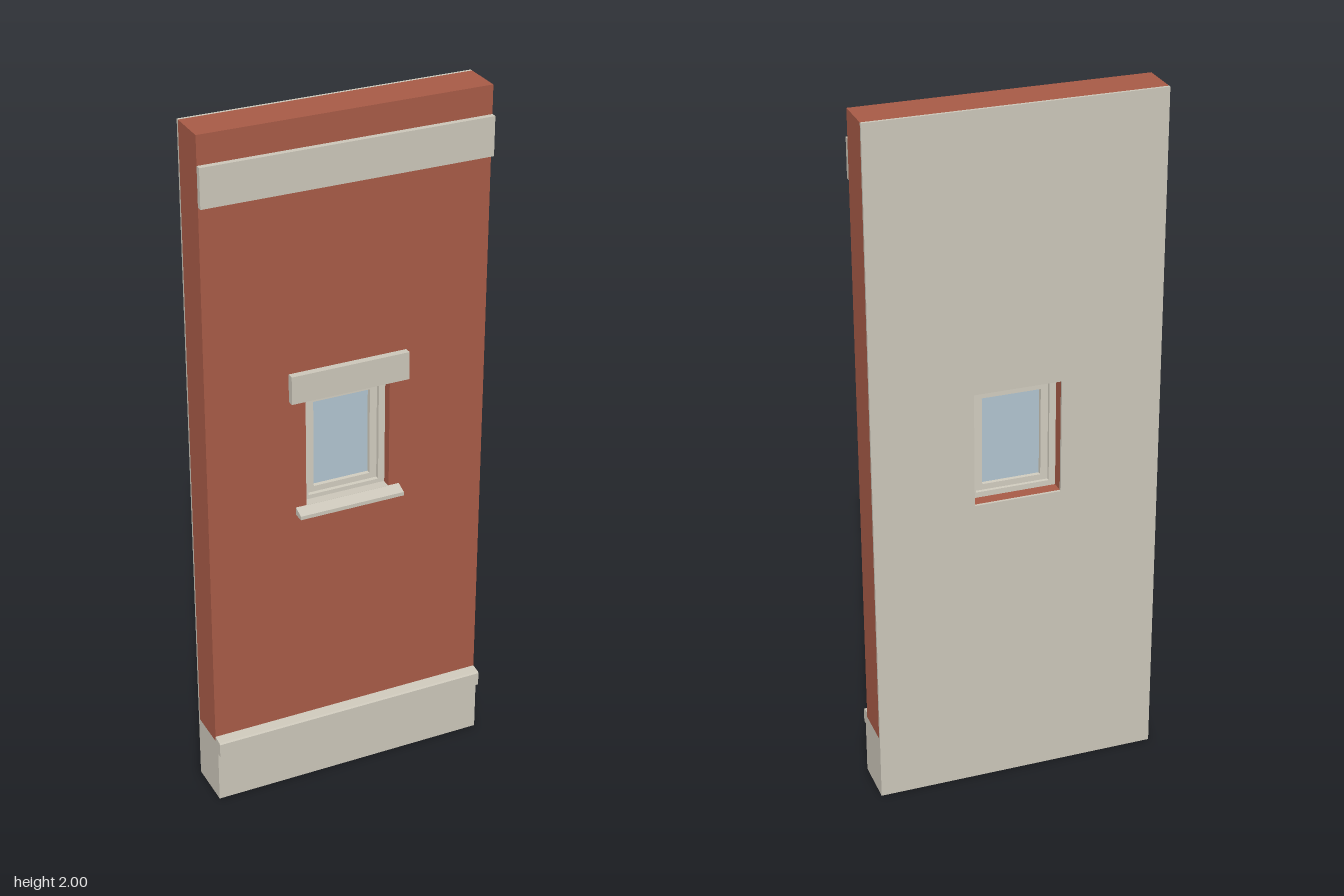
import * as THREE from 'three';

const mat = (name, color) => {
  const m = new THREE.MeshStandardMaterial({ color });
  m.name = name;
  return m;
};

export function createModel() {
  const group = new THREE.Group();
  group.name = 'wallPanelWithWindow';
  const brick = mat('brick red', 0xa65a46);
  const stone = mat('stone', 0xcac5b8);
  const frameMat = mat('window frame', 0xd0cbbe);
  const glassMat = mat('glass', 0xb0c3ce);

  const add = (name, geometry, material) => {
    const mesh = new THREE.Mesh(geometry, material);
    mesh.name = name;
    group.add(mesh);
  };

  // Box given by its limits on each axis
  const box = (name, m, x0, x1, y0, y1, z0, z1) => {
    const g = new THREE.BoxGeometry(x1 - x0, y1 - y0, z1 - z0);
    g.translate((x0 + x1) / 2, (y0 + y1) / 2, (z0 + z1) / 2);
    add(name, g, m);
  };

  // Rectangular slab with a rectangular hole: [halfWidth, bottom, top]
  const ring = (name, m, [w, b, t], [hw, hb, ht], z0, z1) => {
    const rect = (P, a, lo, hi) => new P([[-a, lo], [a, lo], [a, hi], [-a, hi]].map(p => new THREE.Vector2(...p)));
    const shape = rect(THREE.Shape, w, b, t);
    shape.holes.push(rect(THREE.Path, hw, hb, ht));
    const g = new THREE.ExtrudeGeometry(shape, { depth: z1 - z0, bevelEnabled: false });
    add(name, g.translate(0, 0, z0), m);
  };

  // Cross-section of [z, y] points swept along x
  const sweep = (name, m, halfWidth, points) => {
    const shape = new THREE.Shape(points.map(([z, y]) => new THREE.Vector2(-z, y)));
    const g = new THREE.ExtrudeGeometry(shape, { depth: halfWidth * 2, bevelEnabled: false });
    add(name, g.translate(0, 0, -halfWidth).rotateY(Math.PI / 2), m);
  };

  // Wall with inner plaster layer
  const W = 0.41, opening = [0.124, 0.884, 1.216];
  ring('brickWall', brick, [W, 0.19, 2], opening, -0.07, 0.045);
  ring('plasterBack', stone, [W, 0, 2], opening, -0.078, -0.07);

  // Plinth with projecting cap, and upper band
  box('plinth', stone, -W, W, 0, 0.19, -0.07, 0.062);
  sweep('plinthCap', stone, W, [[0.045, 0.185], [0.06, 0.185], [0.06, 0.157], [0.077, 0.157], [0.077, 0.197], [0.073, 0.201], [0.045, 0.205]]);
  box('upperBand', stone, -W, W, 1.81, 1.92, 0.045, 0.061);

  // Lintel and sloping sill
  box('lintel', stone, -0.172, 0.172, 1.215, 1.296, 0.045, 0.065);
  sweep('sill', stone, 0.155, [[0.045, 0.865], [0.077, 0.865], [0.077, 0.876], [0.045, 0.888]]);
  box('sillInner', stone, -0.123, 0.123, 0.884, 0.888, 0.0, 0.046);

  // Window: stepped frame, sash and pane
  ring('windowFrame', frameMat, opening, [0.105, 0.9, 1.196], -0.035, 0.018);
  ring('windowSash', frameMat, [0.105, 0.9, 1.196], [0.084, 0.917, 1.176], -0.025, 0.006);
  box('windowGlass', glassMat, -0.084, 0.084, 0.917, 1.176, -0.013, -0.007);

  return group;
}
